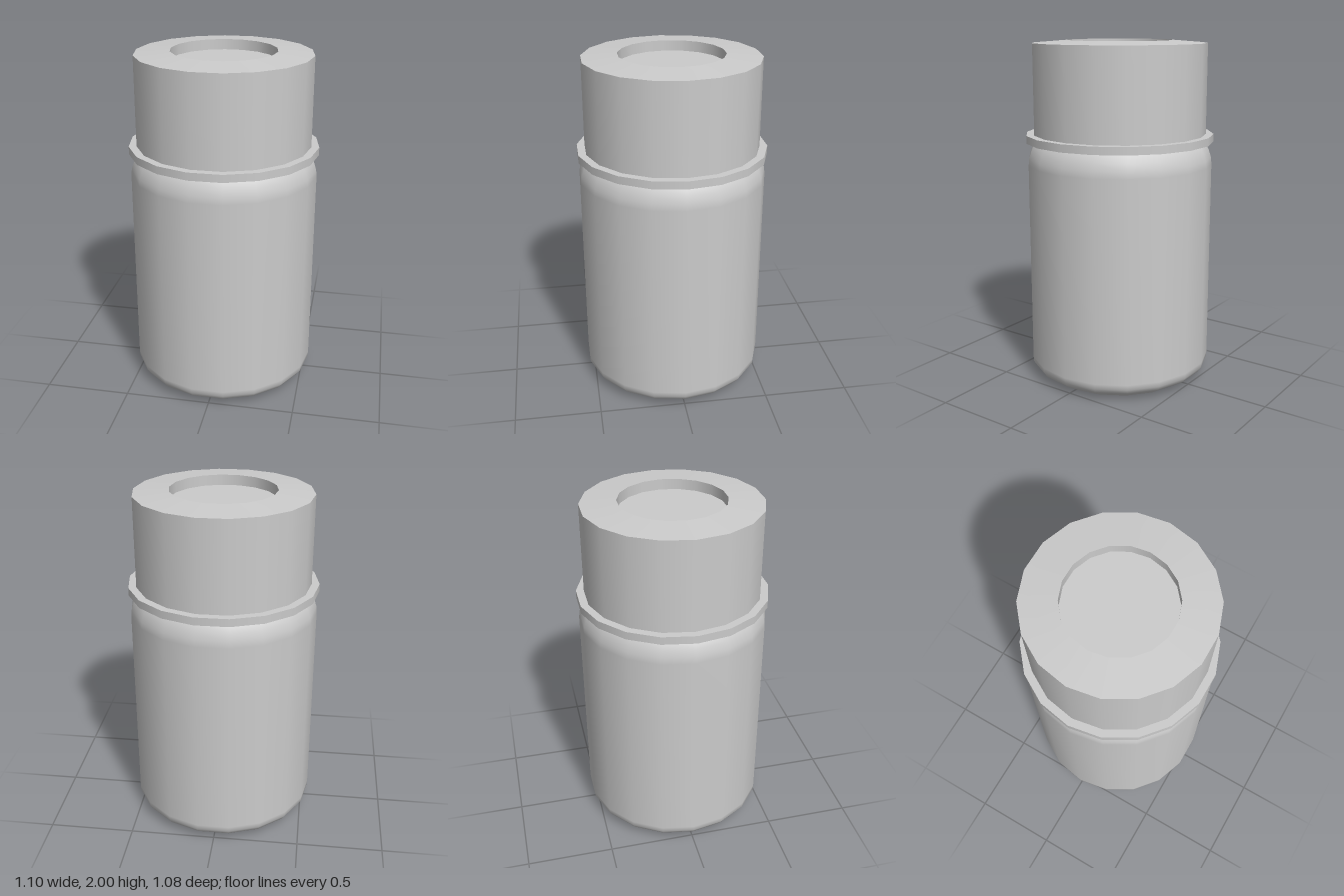
import * as THREE from 'three';

const SIDES = 18;
const material = new THREE.MeshStandardMaterial({ color: 0xcccccc });

// Turned part; each profile [radius, y] is smooth, separate profiles meet in hard edges.
function turned(name, profiles) {
  const part = new THREE.Group();
  part.name = name;
  for (const [label, points] of Object.entries(profiles)) {
    const profile = points.map(([r, y]) => new THREE.Vector2(r, y));
    const mesh = new THREE.Mesh(new THREE.LatheGeometry(profile, SIDES, Math.PI / 2), material);
    mesh.name = label;
    part.add(mesh);
  }
  return part;
}

export function createModel() {
  const model = new THREE.Group();
  model.name = 'bottle';

  // Jar with chamfered foot and rounded shoulder
  model.add(turned('body', {
    base: [[0, 0], [0.45, 0.005]],
    wall: [[0.45, 0.005], [0.52, 0.05], [0.54, 0.08], [0.542, 0.11],
      [0.542, 1.29], [0.538, 1.33], [0.525, 1.37], [0.505, 1.41], [0.48, 1.43]],
  }));

  // Thin flange under the cap
  model.add(turned('collar', {
    collarUnderside: [[0.45, 1.42], [0.55, 1.42]],
    collarEdge: [[0.55, 1.42], [0.55, 1.465]],
    collarTop: [[0.55, 1.465], [0.5, 1.465]],
  }));

  // Cap with a gently sloping top and a round recess
  model.add(turned('cap', {
    capWall: [[0.505, 1.465], [0.505, 1.984]],
    capTop: [[0.505, 1.984], [0.302, 2]],
    recessWall: [[0.302, 2], [0.302, 1.94]],
    recessFloor: [[0.302, 1.94], [0, 1.94]],
  }));

  return model;
}
